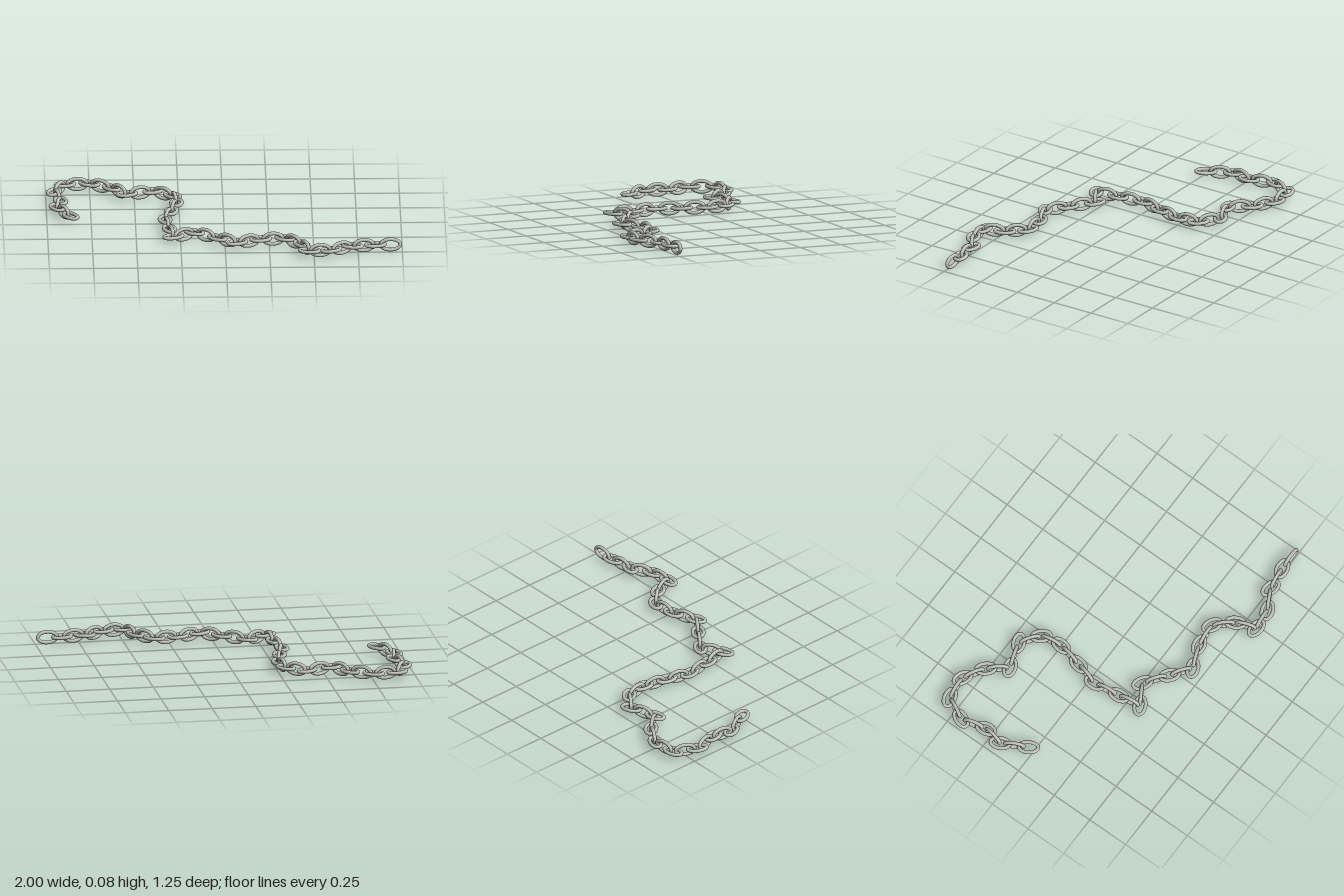
import * as THREE from 'three';

// Flat links along the chain: x, z, heading in degrees (from +x towards +z)
const FLAT_LINKS = [
  [-0.866, -0.03, 58], [-0.94, -0.174, 64], [-0.918, -0.289, 78], [-0.953, -0.439, 113],
  [-0.889, -0.565, -15], [-0.751, -0.577, 25], [-0.628, -0.504, 48], [-0.542, -0.398, -17],
  [-0.392, -0.446, -25], [-0.284, -0.368, 48], [-0.264, -0.243, 95], [-0.296, -0.098, 102],
  [-0.334, 0.041, 86], [-0.312, 0.196, 82], [-0.291, 0.33, -25], [-0.173, 0.26, 32],
  [-0.044, 0.356, 40], [0.068, 0.436, -24], [0.201, 0.383, -14], [0.34, 0.372, 27],
  [0.431, 0.469, 60], [0.474, 0.583, 5], [0.596, 0.571, -20], [0.716, 0.506, 14],
  [0.848, 0.489, -12],
];

const WIRE = 0.0105;       // wire radius
const HALF_LENGTH = 0.055; // centreline half length
const HALF_WIDTH = 0.031;  // centreline half width
const HEIGHT = HALF_WIDTH + WIRE;

// Closed oval centreline in the XY plane
class OvalCurve extends THREE.Curve {
  getPoint(t, target = new THREE.Vector3()) {
    const a = t * Math.PI * 2;
    return target.set(HALF_LENGTH * Math.cos(a), HALF_WIDTH * Math.sin(a), 0);
  }
}

export function createModel() {
  const chain = new THREE.Group();
  chain.name = 'chain';

  const steel = new THREE.MeshStandardMaterial({ color: 0xbdc0b8 });
  steel.name = 'light grey steel';

  const uprightGeometry = new THREE.TubeGeometry(new OvalCurve(), 48, WIRE, 12, true);
  const flatGeometry = uprightGeometry.clone().rotateX(-Math.PI / 2);

  const addLink = (name, geometry, x, z, heading) => {
    const link = new THREE.Mesh(geometry, steel);
    link.name = name;
    link.position.set(x, HEIGHT, z);
    link.rotation.y = -heading;
    chain.add(link);
  };

  FLAT_LINKS.forEach(([x, z, degrees], i) => {
    addLink(`flatLink${i + 1}`, flatGeometry, x, z, THREE.MathUtils.degToRad(degrees));

    // Upright link bridging to the next flat one; the last hangs free at the end
    const [nx, nz] = FLAT_LINKS[i + 1] ?? [1.018, 0.487];
    addLink(`uprightLink${i + 1}`, uprightGeometry, (x + nx) / 2, (z + nz) / 2, Math.atan2(nz - z, nx - x));
  });

  return chain;
}
